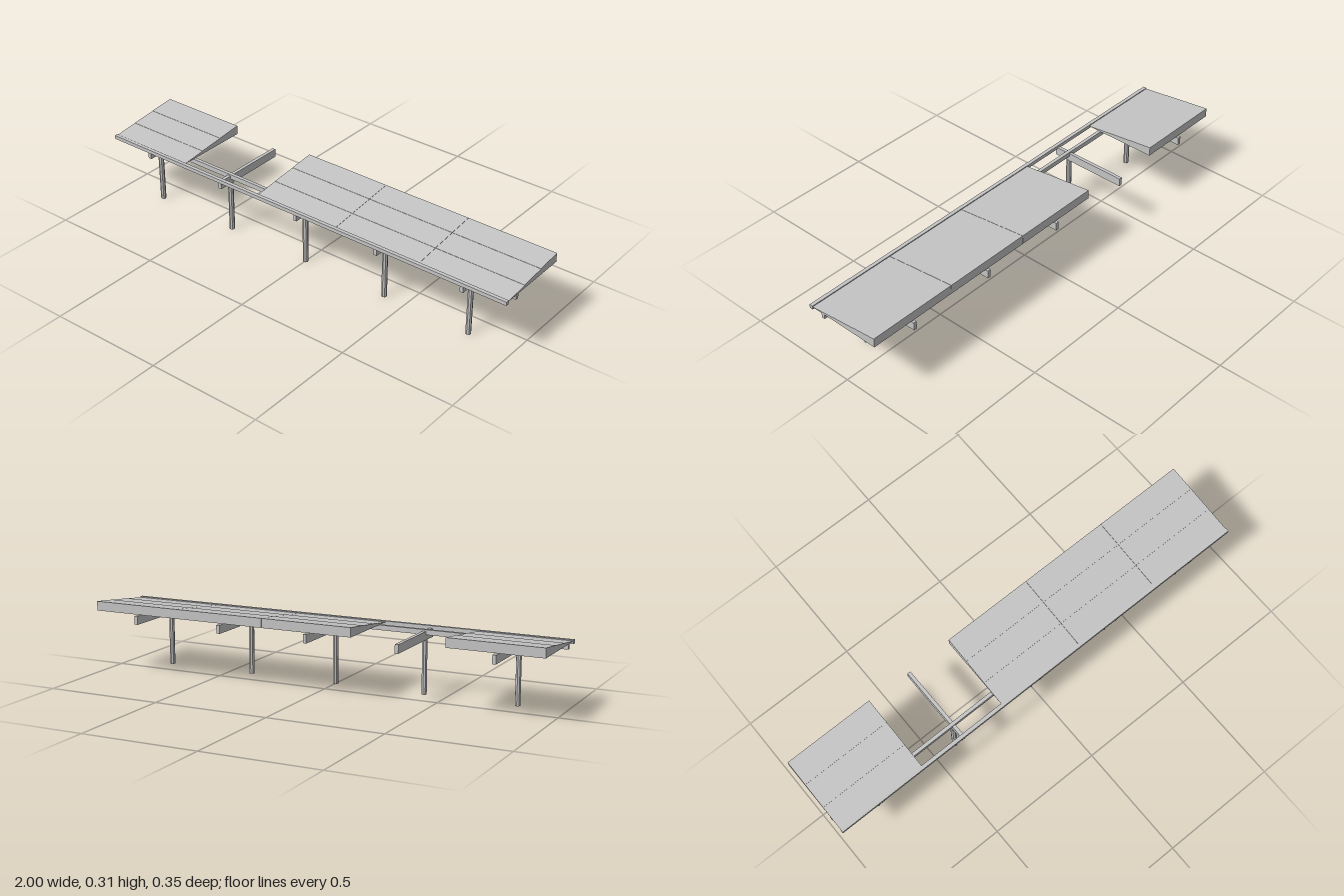
import * as THREE from 'three';

export function createModel() {
  const model = new THREE.Group();
  const grey = new THREE.MeshStandardMaterial({ color: 0xc4c4c4, flatShading: true });
  grey.name = 'grey';

  function add(geometry, name, x, y, z) {
    const mesh = new THREE.Mesh(geometry, grey);
    mesh.name = name;
    mesh.position.set(x, y, z);
    model.add(mesh);
  }

  // Posts with a cantilever arm on each
  const postGeometry = new THREE.CylinderGeometry(0.0115, 0.0115, 0.228, 8);
  const armGeometry = new THREE.BoxGeometry(0.015, 0.036, 0.347);
  for (let i = -2; i <= 2; i++) {
    add(postGeometry, 'post', i * 0.4, 0.114, 0.103);
    add(armGeometry, 'crossArm', i * 0.4, 0.2445, -0.0035);
  }

  // Long beams running the full length
  add(new THREE.BoxGeometry(2, 0.016, 0.016), 'frontBeam', 0, 0.265, 0.169);
  add(new THREE.BoxGeometry(2, 0.021, 0.015), 'mainBeam', 0, 0.2585, 0.1035);

  // Wedge roof section: three overlapping strips with a tiny lip at each seam
  const front = 0.166, back = -0.17, base = 0.2685, top = 0.3085, lip = 0.001;
  const profile = new THREE.Shape();
  profile.moveTo(-front, base);
  profile.lineTo(-back, base);
  for (let i = 3; i > 0; i--) {
    const z1 = THREE.MathUtils.lerp(front, back, i / 3);
    const z0 = THREE.MathUtils.lerp(front, back, (i - 1) / 3);
    profile.lineTo(-z1, THREE.MathUtils.lerp(base, top, i / 3));
    if (i > 1) profile.lineTo(-z0, THREE.MathUtils.lerp(base, top, (i - 1) / 3) + lip);
  }
  const width = 0.399;
  const roofGeometry = new THREE.ExtrudeGeometry(profile, { depth: width, bevelEnabled: false });
  roofGeometry.translate(0, 0, -width / 2);
  roofGeometry.rotateY(Math.PI / 2); // profile x becomes -z
  for (const x of [-0.8, 0, 0.4, 0.8]) add(roofGeometry, 'roofSection', x, 0, 0);

  return model;
}
